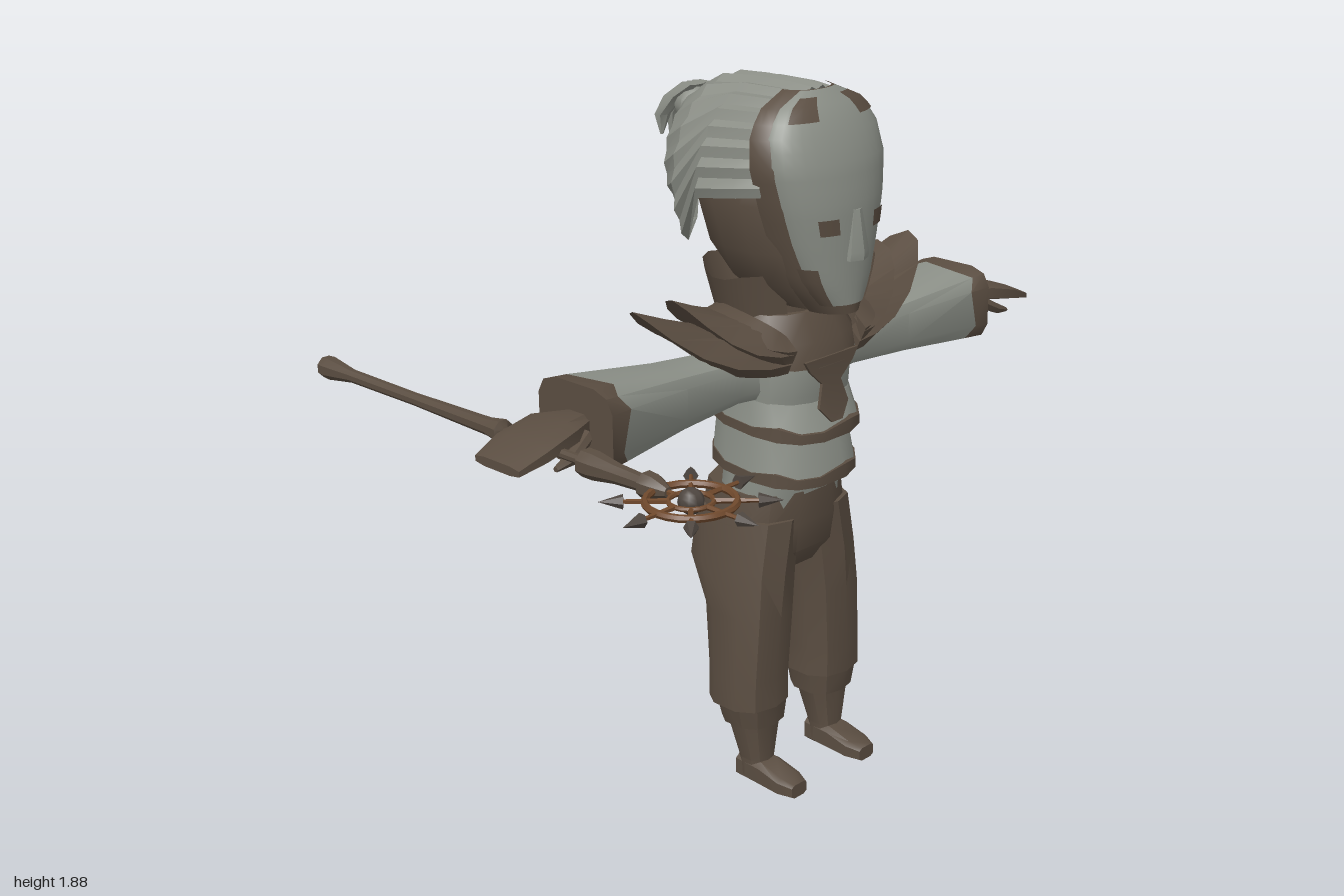
import * as THREE from 'three';
import { toCreasedNormals } from 'three/addons/utils/BufferGeometryUtils.js';

const mat = (name, color) => {
  const m = new THREE.MeshStandardMaterial({ color, side: THREE.DoubleSide });
  m.name = name;
  return m;
};

// Builds an indexed geometry and makes its faces point away from a centre.
function surface(points, index, centre = [0, 0, 0]) {
  const c = new THREE.Vector3(...centre);
  const v = points.map((p) => new THREE.Vector3(...p).sub(c));
  let volume = 0;
  for (let i = 0; i < index.length; i += 3) {
    volume += v[index[i]].dot(v[index[i + 1]].clone().cross(v[index[i + 2]]));
  }
  if (volume < 0) index.reverse();
  const g = new THREE.BufferGeometry();
  g.setAttribute('position', new THREE.Float32BufferAttribute(points.flat(), 3));
  g.setIndex(index);
  return g;
}

// Closed solid through rings of equal point count, with capped ends.
function skin(rings) {
  const n = rings[0].length, pts = rings.flat(), idx = [];
  for (let i = 0; i < rings.length - 1; i++) {
    for (let j = 0; j < n; j++) {
      const a = i * n + j, c = i * n + (j + 1) % n;
      idx.push(a, a + n, c, c, a + n, c + n);
    }
  }
  const last = (rings.length - 1) * n;
  for (let j = 1; j < n - 1; j++) {
    idx.push(0, j, j + 1, last, last + j + 1, last + j);
  }
  return surface(pts, idx);
}

// Sections are [along, centre1, centre2, radius1, radius2, offset(angle, j)].
function loft(axis, sections, n = 12, p = 0.8) {
  const pw = (x) => Math.sign(x) * Math.abs(x) ** p;
  return skin(sections.map(([s, c1, c2, r1, r2, off]) =>
    Array.from({ length: n }, (_, j) => {
      const a = ((j + 0.5) / n) * Math.PI * 2;
      const u = c1 + r1 * pw(Math.cos(a)), v = c2 + r2 * pw(Math.sin(a));
      const w = s + (off ? off(a, j) : 0);
      return axis === 'x' ? [w, u, v] : axis === 'y' ? [u, w, v] : [u, v, w];
    })));
}

// Open sheet from a rule f(u, v), u and v from 0 to 1.
function sheet(f, nu, nv, centre) {
  const pts = [], idx = [];
  for (let i = 0; i <= nv; i++) for (let j = 0; j <= nu; j++) pts.push(f(j / nu, i / nv, j, i));
  for (let i = 0; i < nv; i++) {
    for (let j = 0; j < nu; j++) {
      const a = i * (nu + 1) + j, b = a + nu + 1;
      idx.push(a, b, a + 1, a + 1, b, b + 1);
    }
  }
  return surface(pts, idx, centre);
}

export function createModel() {
  const model = new THREE.Group();
  const body = new THREE.Group();
  body.name = 'figure';
  body.position.x = 0.037;
  model.add(body);
  const brown = mat('dark brown cloth', 0x5a4d41);
  const grey = mat('pale grey cloth', 0x8b8f87);
  const hairGrey = mat('grey hair', 0x8b8e86);
  const copper = mat('copper', 0x70492c);
  const steel = mat('dark metal', 0x4e4640);

  const add = (name, g, m, parent = body, crease = 0.6) => {
    const mesh = new THREE.Mesh(toCreasedNormals(g, crease), m);
    mesh.name = name;
    parent.add(mesh);
  };
  const pair = (name, make, m, crease) => {
    add('left' + name, make(), m, body, crease);
    const g = make().scale(-1, 1, 1);
    g.index.array.reverse();
    add('right' + name, g, m, body, crease);
  };

  // Trousers, boots and feet
  add('hips', loft('y', [[0.6, 0, 0.03, 0.13, 0.1], [0.66, 0, 0.025, 0.19, 0.145],
    [0.74, 0, 0.025, 0.195, 0.155], [0.83, 0, 0.03, 0.175, 0.15]]), brown);
  pair('TrouserLeg', () => loft('y', [[0.24, 0.143, 0.07, 0.098, 0.1], [0.32, 0.142, 0.07, 0.096, 0.1],
    [0.5, 0.13, 0.06, 0.097, 0.115], [0.62, 0.117, 0.025, 0.098, 0.152], [0.76, 0.09, 0.025, 0.1, 0.15]], 10), brown);
  pair('BootCuff', () => loft('y', [[0.18, 0.137, 0.08, 0.078, 0.078],
    [0.25, 0.14, 0.078, 0.092, 0.09, (a, j) => (j % 2) * 0.015]], 10), brown);
  pair('Boot', () => loft('y', [[0.02, 0.138, 0.1, 0.042, 0.045], [0.07, 0.138, 0.095, 0.042, 0.045],
    [0.2, 0.137, 0.08, 0.07, 0.068]], 10), brown);
  pair('Foot', () => loft('z', [[0.055, 0.138, 0.035, 0.04, 0.035], [0.14, 0.138, 0.035, 0.045, 0.035],
    [0.21, 0.138, 0.025, 0.045, 0.025], [0.25, 0.138, 0.02, 0.03, 0.02]], 8, 0.5), brown);

  // Torso and the layered tunic flaps, lower at the front
  add('torso', loft('y', [[0.79, 0, 0.05, 0.168, 0.125], [0.9, 0, 0.06, 0.163, 0.125], [1, 0, 0.055, 0.165, 0.135],
    [1.1, 0, 0.05, 0.172, 0.16], [1.2, 0, 0.05, 0.18, 0.165], [1.28, 0, 0.05, 0.15, 0.14]], 16), grey);
  const dip = (a) => -0.022 * Math.sin(a);
  [[1.02, 1.1, 0.066, 0.18], [0.895, 1.0, 0.063, 0.172]].forEach(([low, high, cz, rz], i) => {
    add('tunicFlap' + i, loft('y', [[low, 0, cz, 0.178, rz, dip], [high, 0, 0.055, 0.17, 0.152, dip]], 16), grey);
    add('tunicTrim' + i, loft('y', [[low - 0.015, 0, cz, 0.18, rz + 0.003, dip],
      [low + 0.01, 0, cz, 0.18, rz + 0.002, (a, j) => dip(a) + (j % 3 ? 0 : 0.012)]], 16), brown);
  });
  const crest = new THREE.Shape([[-0.1, 1.2], [-0.08, 1.17], [-0.035, 1.13], [-0.055, 1.07], [-0.02, 1.03],
    [0.02, 1.03], [0.055, 1.07], [0.035, 1.13], [0.08, 1.17], [0.1, 1.2]].map((p) => new THREE.Vector2(...p)));
  const crestPlate = new THREE.ExtrudeGeometry(crest, { depth: 0.008, bevelEnabled: false });
  const cp = crestPlate.attributes.position;
  for (let i = 0; i < cp.count; i++) cp.setZ(i, cp.getZ(i) + 0.217 - Math.max(0, 1.1 - cp.getY(i)) * -0.3);
  add('chestPanel', crestPlate, brown);
  add('shoulderYoke', loft('y', [[1.175, 0, 0.05, 0.185, 0.178, (a) => 0.02 * (1 - Math.sin(a))],
    [1.24, 0, 0.045, 0.185, 0.168], [1.31, 0, 0.04, 0.15, 0.135]], 16), brown);

  // Flared sleeves, ragged cuffs and hands
  const rag = (a, j) => (j % 2) * 0.025 - 0.012;
  const cuffStart = [0.655, 1.16, 0.05, 0.1, 0.122, rag];
  pair('Sleeve', () => loft('x', [[0.1, 1.155, 0.045, 0.075, 0.09], [0.22, 1.15, 0.045, 0.062, 0.075],
    [0.42, 1.153, 0.048, 0.078, 0.085], cuffStart], 12, 0.5), grey);
  pair('Cuff', () => loft('x', [cuffStart, [0.71, 1.16, 0.05, 0.105, 0.13]], 12, 0.5), brown);
  pair('Hand', () => loft('x', [[0.69, 1.165, 0.055, 0.028, 0.035], [0.78, 1.172, 0.055, 0.027, 0.085],
    [0.88, 1.15, 0.055, 0.022, 0.093], [0.955, 1.127, 0.055, 0.012, 0.08]], 8, 0.6), brown);
  pair('Thumb', () => loft('x', [[0.74, 1.155, 0.12, 0.02, 0.02], [0.8, 1.125, 0.135, 0.016, 0.018],
    [0.85, 1.11, 0.135, 0.006, 0.008]], 6), brown);

  // Mantle: crescent blades rising to a tip over each shoulder
  [[0.515, 1.39, 0.24, 1.18, 0.16], [0.385, 1.39, 0.19, 1.21, 0.175], [0.27, 1.33, 0.16, 1.22, 0.18]]
    .forEach(([tipX, tipY, innerX, lowY, rz], k) => {
      pair('MantleBlade' + k, () => skin(Array.from({ length: 13 }, (_, i) => {
        const s = i / 12, a = s * Math.PI, sn = Math.sin(a), cs = Math.cos(a);
        const base = 0.13 * (1 - s) ** 0.7;
        const z = 0.045 + rz * cs;
        const x = (r, pow) => base + (r - 0.13 * 0.5 ** 0.7) * sn ** pow;
        return [
          [x(innerX, 1), lowY - 0.005, z * 0.95],
          [x(tipX, 1.25), lowY + 0.02 + (tipY - lowY - 0.02) * sn ** 3, z],
          [x(innerX + 0.02, 1), lowY + 0.05 + 0.06 * sn, 0.045 + rz * 0.8 * cs],
        ];
      })), brown, 0.5);
    });

  // Standing collar, open at the front
  add('collar', sheet((u, v) => {
    const a = Math.PI * (0.5 + 0.17 + u * 1.66);
    const back = Math.max(0, -Math.sin(a));
    return [(0.155 + 0.04 * v) * Math.cos(a), 1.27 + v * (0.135 + 0.01 * Math.sin(u * 20)),
      0.03 + (0.14 + 0.05 * v * back) * Math.sin(a)];
  }, 16, 2, [0, 1.34, 0.03]), brown);
  add('neck', loft('y', [[1.24, 0, 0.05, 0.13, 0.12], [1.34, 0, 0.06, 0.11, 0.1], [1.42, 0, 0.06, 0.1, 0.1]]), brown);

  // Head
  add('head', loft('y', [[1.33, 0, 0.13, 0.08, 0.14], [1.39, 0, 0.095, 0.135, 0.175], [1.48, 0, 0.07, 0.185, 0.2],
    [1.6, 0, 0.05, 0.208, 0.21], [1.72, 0, 0.04, 0.2, 0.21], [1.8, 0, 0.04, 0.15, 0.17], [1.84, 0, 0.04, 0.07, 0.09]],
  16, 0.9), brown, body, 0.9);

  // Face: rows are [y, half width, side z, front z]
  const rows = [[1.325, 0.05, 0.25, 0.297], [1.4, 0.108, 0.225, 0.3], [1.5, 0.148, 0.205, 0.302], [1.6, 0.178, 0.195, 0.302],
    [1.7, 0.198, 0.185, 0.288], [1.78, 0.187, 0.175, 0.258], [1.835, 0.14, 0.17, 0.222], [1.868, 0.06, 0.165, 0.185]];
  const face = (t, y, lift = 0, wide = 0) => {
    let i = 0;
    while (i < rows.length - 2 && y > rows[i + 1][0]) i++;
    const k = (y - rows[i][0]) / (rows[i + 1][0] - rows[i][0]);
    const [w, zb, zf] = [1, 2, 3].map((c) => rows[i][c] + (rows[i + 1][c] - rows[i][c]) * k);
    return [(w + wide + lift) * Math.sin(t), y, zb - wide * 2 + (zf - zb + wide * 2) * Math.cos(t) + lift];
  };
  const facePatch = (name, t0, t1, y0, y1, m, lift, wide = 0, nu = 4, nv = 3) => add(name, sheet((u, v) =>
    face(t0 + (t1 - t0) * u, y0 + (y1 - y0) * v, lift, wide), nu, nv, [0, 1.6, 0]), m, body, 0.9);
  facePatch('face', -1.57, 1.57, 1.35, 1.868, grey, 0, 0, 16, 16);
  facePatch('faceBorder', -1.57, 1.57, 1.325, 1.868, brown, -0.004, 0.02, 16, 16);
  for (const s of [-1, 1]) {
    facePatch('eye', s * 0.38, s * 0.75, 1.535, 1.575, brown, 0.004);
    facePatch('templePatch', s * 0.45, s * 1.1, 1.805, 1.855, brown, 0.005);
    facePatch('jawPatch', s * 0.95, s * 1.57, 1.35, 1.45, brown, 0.004);
  }
  add('nose', loft('y', [[1.465, 0, 0.295, 0.04, 0.028], [1.485, 0, 0.297, 0.038, 0.028], [1.59, 0, 0.295, 0.018, 0.012]],
    6, 1), grey);

  // Hair pulled back in pleats; rows are [z, centre y, width, height, reach in degrees]
  const hair = [[0.165, 1.62, 0.2, 0.245, 88], [0.1, 1.62, 0.222, 0.25, 90], [-0.02, 1.62, 0.23, 0.25, 94],
    [-0.12, 1.62, 0.213, 0.245, 130], [-0.19, 1.655, 0.17, 0.175, 160], [-0.235, 1.68, 0.11, 0.12, 178],
    [-0.255, 1.73, 0.04, 0.06, 179]];
  add('hair', sheet((u, v, j, i) => {
    const [z, cy, rx, ry, reach] = hair[i];
    const a = (u * 2 - 1) * reach * Math.PI / 180, r = j % 2 ? 1.03 : 0.985;
    return [rx * r * Math.sin(a), cy + ry * r * Math.cos(a), z];
  }, 32, hair.length - 1, [0, 1.62, 0]), hairGrey, body, 0.35);
  add('hairKnot', new THREE.SphereGeometry(0.055, 10, 8).scale(1, 0.9, 1).translate(0, 1.77, -0.25), hairGrey);
  for (const [x, y, z] of [[0, 1.64, -0.338], [-0.045, 1.69, -0.32], [0.05, 1.7, -0.325]]) {
    add('hairTuft', loft('y', [[y, x * 1.2, z, 0.004, 0.004], [1.74, x, -0.325, 0.022, 0.018],
      [1.79, x * 0.7, -0.295, 0.025, 0.03], [1.825, x * 0.4, -0.25, 0.02, 0.03]], 6), hairGrey);
  }

  // Staff held level in the right hand
  const staff = new THREE.Group();
  staff.name = 'staff';
  staff.position.set(-0.793, 1.145, 0);
  model.add(staff);
  const rod = [[-0.765, 0.028], [-0.74, 0.03], [-0.65, 0.017], [-0.4, 0.016], [-0.12, 0.022], [-0.07, 0.03],
    [-0.06, 0.012], [0.2, 0.012], [0.215, 0.034], [0.25, 0.034], [0.32, 0.024], [0.4, 0.02], [0.41, 0.032],
    [0.44, 0.03], [0.48, 0.012]];
  add('staffRod', loft('z', rod.map(([z, r]) => [z, 0, 0, r, r]), 8, 1), brown, staff);
  const wheel = new THREE.Group();
  wheel.name = 'staffWheel';
  wheel.position.z = 0.55;
  staff.add(wheel);
  add('outerRing', new THREE.TorusGeometry(0.1, 0.009, 6, 24).rotateX(Math.PI / 2), copper, wheel);
  add('innerRing', new THREE.TorusGeometry(0.05, 0.006, 6, 16).rotateX(Math.PI / 2), copper, wheel);
  add('orb', new THREE.SphereGeometry(0.03, 10, 8), steel, wheel, 1);
  for (let i = 0; i < 8; i++) {
    const turn = (g) => g.rotateZ(-Math.PI / 2).rotateY(i * Math.PI / 4);
    add('spoke', turn(new THREE.CylinderGeometry(0.005, 0.007, 0.1, 5).translate(0, 0.1, 0)), copper, wheel);
    add('spike', turn(new THREE.ConeGeometry(0.017, 0.055, 6).translate(0, 0.173, 0)), steel, wheel);
  }
  return model;
}
